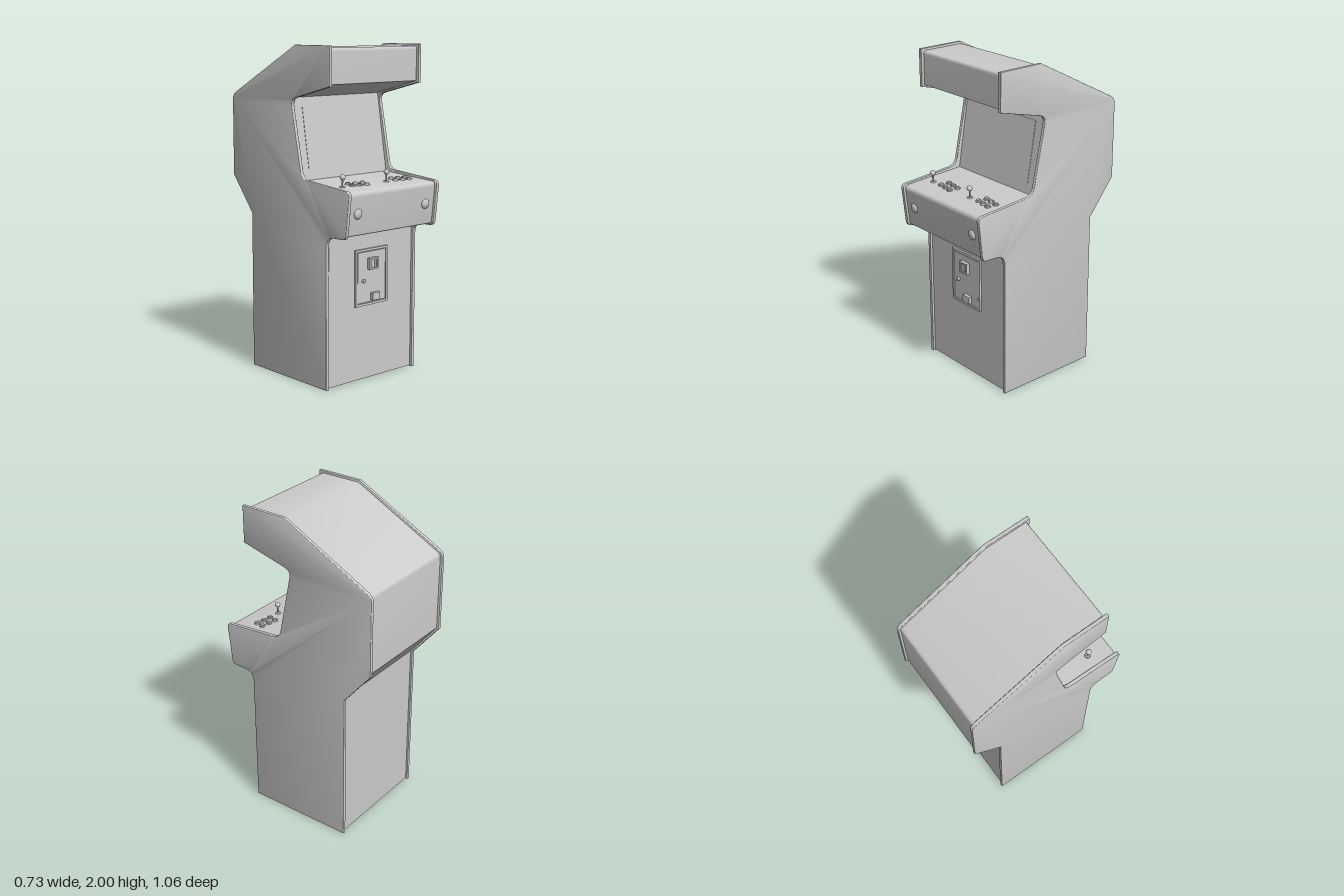
import * as THREE from 'three';
import { toCreasedNormals } from 'three/addons/utils/BufferGeometryUtils.js';

const grey = new THREE.MeshStandardMaterial({ color: 0xcccccc });

function add(parent, name, geo, x = 0, y = 0, z = 0) {
  const m = new THREE.Mesh(geo, grey);
  m.name = name;
  m.position.set(x, y, z);
  parent.add(m);
  return m;
}

// Closed outline from [z, y, cornerRadius] points, corners rounded off
function roundedShape(points) {
  const shape = new THREE.Shape();
  const n = points.length;
  points.forEach(([z, y, r = 0], i) => {
    const p = new THREE.Vector2(z, y);
    const toward = (q) => new THREE.Vector2(q[0], q[1]).sub(p).setLength(r).add(p);
    const a = toward(points[(i + n - 1) % n]);
    const b = toward(points[(i + 1) % n]);
    if (i === 0) shape.moveTo(a.x, a.y);
    else shape.lineTo(a.x, a.y);
    if (r > 0) shape.quadraticCurveTo(p.x, p.y, b.x, b.y);
  });
  shape.closePath();
  return shape;
}

// Extrude a (z, y) outline across x, centred on x = 0
function acrossX(points, width, bevel = 0) {
  const geo = new THREE.ExtrudeGeometry(roundedShape(points), {
    depth: width - 2 * bevel, curveSegments: 8, bevelEnabled: bevel > 0,
    bevelSize: bevel, bevelThickness: bevel, bevelOffset: -bevel, bevelSegments: 3,
  });
  geo.rotateY(-Math.PI / 2);
  geo.translate(width / 2 - bevel, 0, 0);
  return toCreasedNormals(geo, 0.6);
}

const sideProfile = [
  [0.34, 0], [0.34, 0.915, 0.065], [0.505, 0.92, 0.03], [0.535, 1.195, 0.03],
  [0.125, 1.228, 0.05], [0.03, 1.686, 0.045], [0.37, 1.772], [0.37, 2], [0.07, 2],
  [-0.53, 1.69, 0.035], [-0.53, 1.19], [-0.35, 0.97], [-0.35, 0],
];

const bodyProfile = [
  [0.325, 0.006], [0.325, 0.932], [0.492, 0.932, 0.01], [0.52, 1.188, 0.03],
  [0.1, 1.212], [0.02, 1.695], [0.352, 1.782], [0.352, 1.987, 0.02], [0.073, 1.987],
  [-0.516, 1.683, 0.02], [-0.516, 1.196], [-0.338, 0.976], [-0.338, 0.006],
];

function addJoystick(parent, x) {
  const g = new THREE.Group();
  g.name = 'joystick';
  g.position.x = x;
  add(g, 'joystickCollar', new THREE.CylinderGeometry(0.014, 0.018, 0.006, 20), 0, 0.003, 0);
  add(g, 'joystickShaft', new THREE.CylinderGeometry(0.005, 0.005, 0.05, 12), 0, 0.025, 0);
  add(g, 'joystickBall', new THREE.SphereGeometry(0.017, 20, 14), 0, 0.058, 0);
  parent.add(g);
}

// Two rows of three buttons in a gentle slant
function addButtons(parent, x) {
  for (let row = 0; row < 2; row++) {
    for (let i = 0; i < 3; i++) {
      const bx = x + i * 0.05 + row * 0.012;
      const bz = i * 0.008 - row * 0.05;
      add(parent, 'buttonRim', new THREE.CylinderGeometry(0.018, 0.019, 0.008, 24), bx, 0.003, bz);
      add(parent, 'buttonCap', new THREE.CylinderGeometry(0.011, 0.013, 0.008, 20), bx, 0.009, bz);
    }
  }
}

function frameGeometry(w, h, border, depth) {
  const s = new THREE.Shape();
  const rect = (path, a, b) =>
    path.moveTo(-a, -b).lineTo(a, -b).lineTo(a, b).lineTo(-a, b).closePath();
  rect(s, w / 2, h / 2);
  const hole = new THREE.Path();
  rect(hole, w / 2 - border, h / 2 - border);
  s.holes.push(hole);
  return new THREE.ExtrudeGeometry(s, { depth, bevelEnabled: false });
}

function coinDoor() {
  const g = new THREE.Group();
  g.name = 'coinDoor';
  g.position.set(0, 0.632, 0.325);
  add(g, 'doorFrame', frameGeometry(0.262, 0.344, 0.014, 0.013));
  add(g, 'doorPanel', new THREE.BoxGeometry(0.226, 0.308, 0.02), 0, 0, 0);
  // Coin entry with a slot strip
  add(g, 'coinEntryFrame', frameGeometry(0.07, 0.07, 0.01, 0.034), 0, 0.081, 0);
  add(g, 'coinEntryPlate', new THREE.BoxGeometry(0.052, 0.052, 0.024), 0, 0.081, 0.012);
  add(g, 'coinSlot', new THREE.BoxGeometry(0.006, 0.04, 0.006), 0.012, 0.081, 0.026);
  // Lock
  const lock = add(g, 'doorLock', new THREE.CylinderGeometry(0.011, 0.011, 0.026, 20), -0.07, -0.02, 0.013);
  lock.rotation.x = Math.PI / 2;
  // Coin return cup
  add(g, 'coinReturn', new THREE.BoxGeometry(0.06, 0.045, 0.032), 0.02, -0.122, 0.016);
  return g;
}

export function createModel() {
  const root = new THREE.Group();
  root.name = 'arcadeCabinet';

  // Cabinet
  add(root, 'cabinetBody', acrossX(bodyProfile, 0.69));
  const side = acrossX(sideProfile, 0.024, 0.005);
  for (const s of [1, -1]) add(root, s > 0 ? 'leftSidePanel' : 'rightSidePanel', side, s * 0.355);

  // Screen glass, leaning back
  const screen = add(root, 'screen', new THREE.BoxGeometry(0.56, 0.38, 0.004), 0, 1.455, 0.0603);
  screen.rotation.x = -Math.atan2(0.08, 0.483);

  // Control deck
  const deck = new THREE.Group();
  deck.name = 'controlDeck';
  deck.position.set(0, 1.197, 0.365);
  deck.rotation.x = Math.atan2(0.024, 0.42);
  for (const x of [-0.265, 0.085]) {
    addJoystick(deck, x);
    addButtons(deck, x + 0.078);
  }
  root.add(deck);

  // Round knobs on the deck front
  for (const s of [1, -1]) {
    const knob = add(root, 'frontKnob', new THREE.SphereGeometry(0.03, 24, 16), s * 0.273, 1.06, 0.506);
    knob.scale.z = 0.45;
    knob.rotation.x = 0.11;
  }

  root.add(coinDoor());
  return root;
}
